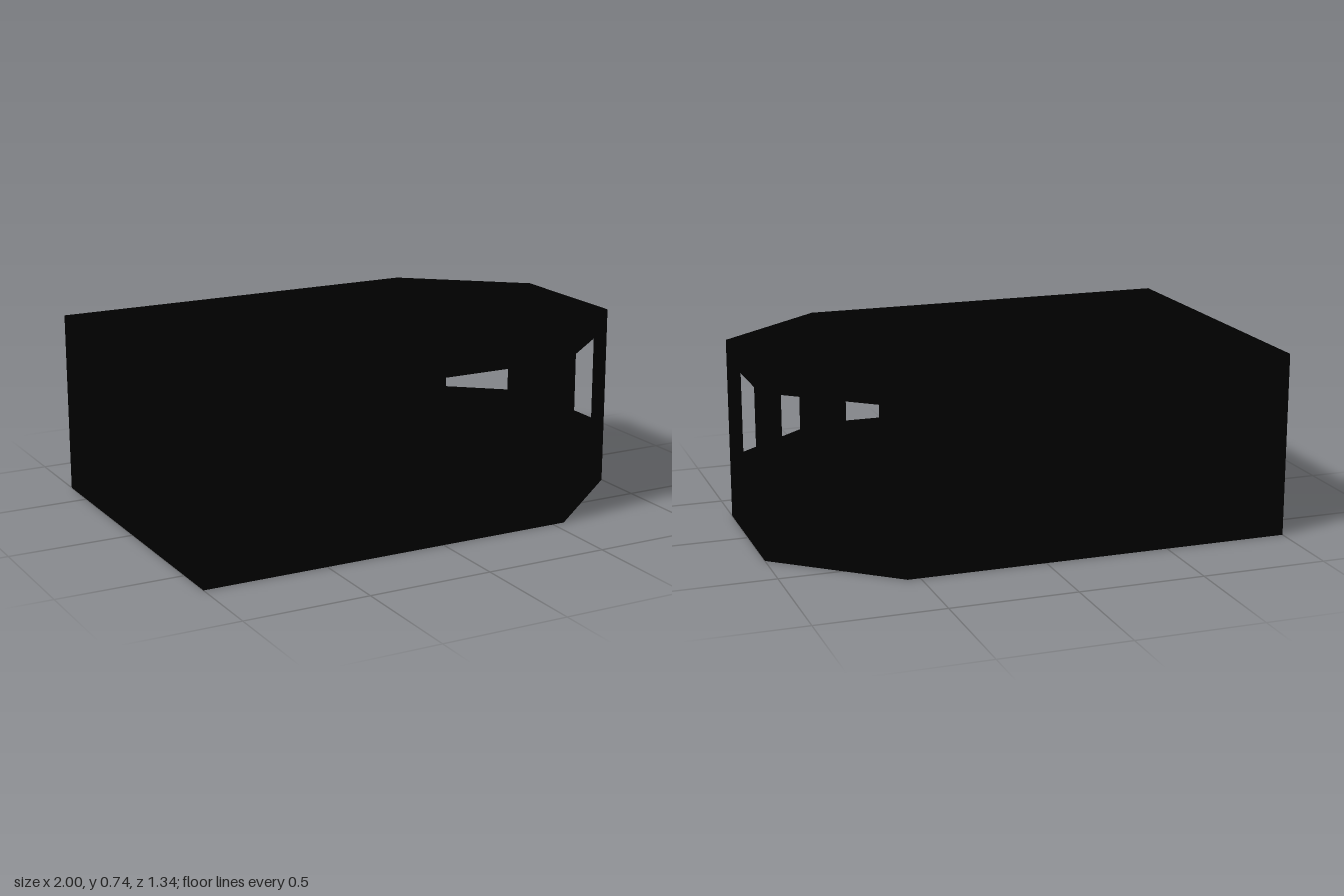
import * as THREE from 'three';

const HEIGHT = 0.735;
const SILL = 0.25;
const HEAD = 0.66;

// Plan corners as [x, z], walked so that every wall faces outwards
const corners = [[-1, 0.67], [0.55, 0.67], [1, 0.29], [1, -0.29], [0.55, -0.67], [-1, -0.67]];

// One wall per corner; openings are [start, end, bottom, top] along the wall
const walls = [
  { name: 'frontWall', opening: [1.0, 1.41, SILL, HEAD] },
  { name: 'frontAngledWall', opening: [0.106, 0.501, SILL, HEAD] },
  { name: 'endWall', opening: [0.09, 0.49, SILL, HEAD] },
  { name: 'backAngledWall', opening: [0.088, 0.483, SILL, HEAD] },
  { name: 'backWall' },
  { name: 'doorWall', opening: [0.87, 1.2, 0.01, HEAD] },
];

function rectangle(path, x0, x1, y0, y1) {
  path.moveTo(x0, y0);
  path.lineTo(x1, y0);
  path.lineTo(x1, y1);
  path.lineTo(x0, y1);
  path.closePath();
  return path;
}

export function createModel() {
  const group = new THREE.Group();
  group.name = 'room';
  const material = new THREE.MeshStandardMaterial({ color: 0x000000, side: THREE.DoubleSide });

  // Thin walls with window and door openings
  walls.forEach(({ name, opening }, i) => {
    const [ax, az] = corners[i];
    const [bx, bz] = corners[(i + 1) % corners.length];
    const shape = rectangle(new THREE.Shape(), 0, Math.hypot(bx - ax, bz - az), 0, HEIGHT);
    if (opening) shape.holes.push(rectangle(new THREE.Path(), ...opening));
    const wall = new THREE.Mesh(new THREE.ShapeGeometry(shape), material);
    wall.name = name;
    wall.position.set(ax, 0, az);
    wall.rotation.y = Math.atan2(az - bz, bx - ax);
    group.add(wall);
  });

  // Floor and roof share the plan outline
  const plan = new THREE.Shape(corners.map(([x, z]) => new THREE.Vector2(x, -z)));
  for (const [name, y, turn] of [['floor', 0, 1], ['roof', HEIGHT, -1]]) {
    const slab = new THREE.Mesh(new THREE.ShapeGeometry(plan), material);
    slab.name = name;
    slab.position.y = y;
    slab.rotation.x = turn * Math.PI / 2;
    group.add(slab);
  }
  return group;
}
